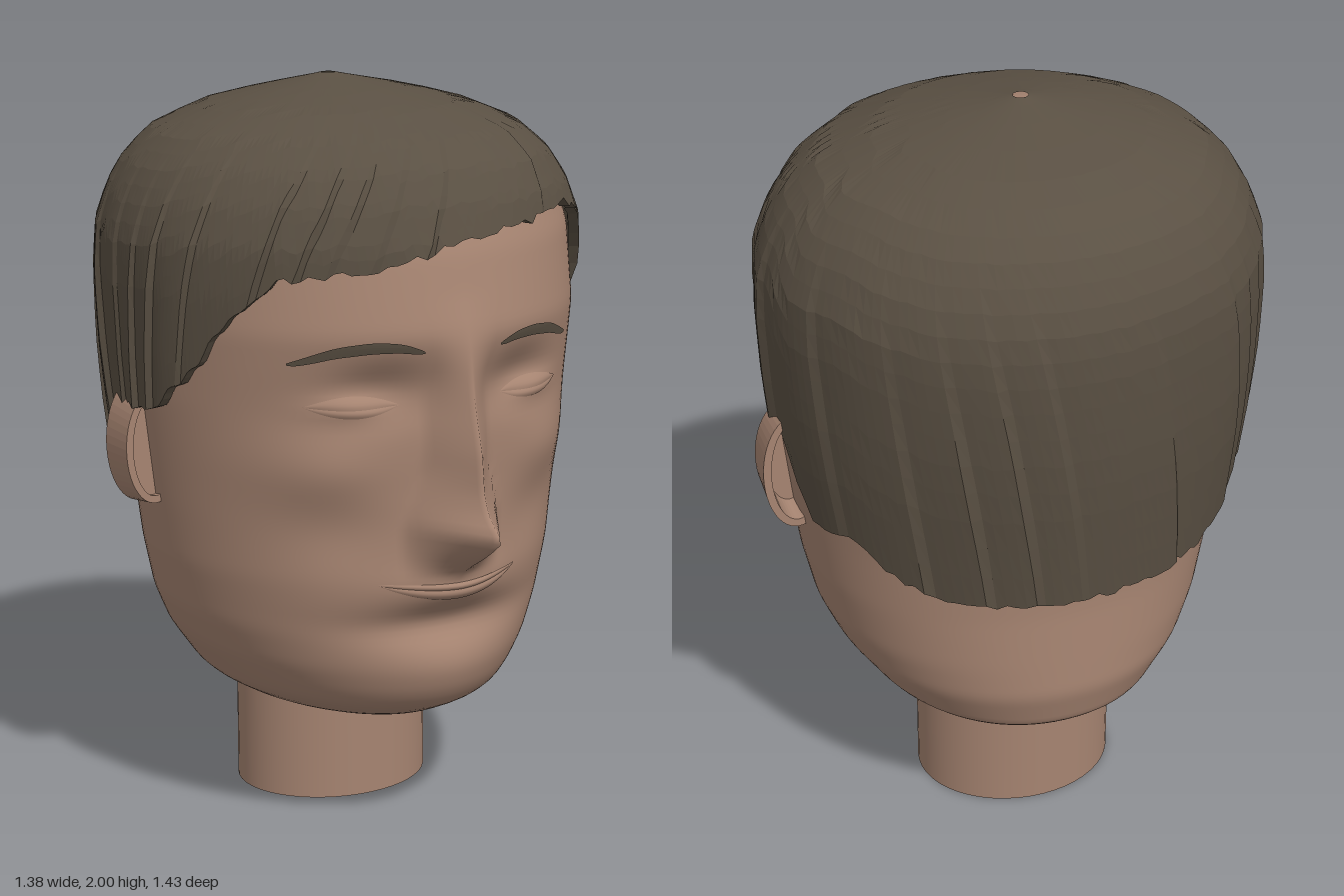
import * as THREE from 'three';

const skin = new THREE.MeshStandardMaterial({ color: 0xa68471 });
skin.name = 'skin';
skin.side = THREE.DoubleSide;
const hairColour = new THREE.MeshStandardMaterial({ color: 0x5a5043 });
hairColour.name = 'dark hair';
hairColour.side = THREE.DoubleSide;
hairColour.flatShading = true;

// Piecewise-linear lookup in [key, value] pairs with rising keys
function look(table, k) {
  if (k <= table[0][0]) return table[0][1];
  for (let i = 1; i < table.length; i++) {
    const [k0, v0] = table[i - 1], [k1, v1] = table[i];
    if (k <= k1) return v0 + (v1 - v0) * (k - k0) / (k1 - k0);
  }
  return table[table.length - 1][1];
}
// Lookup rounded off at the corners
function soft(table, k, d = 0.02) {
  let s = 0;
  for (let i = -2; i <= 2; i++) s += look(table, k + i * d / 2) / 5;
  return s;
}

// Grid of points from fn(column, row) turned into a surface
function surface(cols, rows, fn, wrap) {
  const pos = [], idx = [], n = wrap ? cols : cols + 1;
  for (let r = 0; r <= rows; r++)
    for (let c = 0; c < n; c++) pos.push(...fn(c / cols, r / rows));
  for (let r = 0; r < rows; r++)
    for (let c = 0; c < cols; c++) {
      const a = r * n + c, b = r * n + (c + 1) % n;
      idx.push(a, b, b + n, a, b + n, a + n);
    }
  const g = new THREE.BufferGeometry();
  g.setAttribute('position', new THREE.Float32BufferAttribute(pos, 3));
  g.setIndex(idx);
  g.computeVertexNormals();
  return g;
}

// Head outline by height: half width, front and back
const MID = -0.08, FACE_POWER = 1.85, BACK_POWER = 2.1;
const WIDTH = [[0.275, 0], [0.28, 0.13], [0.315, 0.29], [0.38, 0.4], [0.5, 0.485], [0.6, 0.53], [0.75, 0.565],
  [0.9, 0.585], [1.2, 0.62], [1.4, 0.63], [1.6, 0.625], [1.76, 0.575], [1.86, 0.47], [1.92, 0.33], [1.955, 0.18], [1.985, 0]];
const FRONT = [[0.275, MID], [0.28, 0.2], [0.315, 0.31], [0.38, 0.44], [0.43, 0.475], [0.5, 0.49], [0.6, 0.498],
  [0.75, 0.508], [1.0, 0.505], [1.2, 0.515], [1.3, 0.535], [1.4, 0.55],
  [1.6, 0.5], [1.76, 0.43], [1.86, 0.33], [1.92, 0.2], [1.955, 0.05], [1.985, MID]];
const BACK = [[0.275, MID], [0.28, -0.2], [0.32, -0.42], [0.38, -0.575], [0.5, -0.61], [0.6, -0.605], [0.75, -0.597],
  [0.9, -0.6], [1.2, -0.64], [1.6, -0.66], [1.76, -0.62], [1.86, -0.52], [1.92, -0.4], [1.955, -0.24], [1.985, MID]];
const RIDGE = [[0.76, 0], [0.8, 0.07], [0.84, 0.14], [0.9, 0.222], [0.95, 0.16], [1.0, 0.135], [1.1, 0.118],
  [1.2, 0.085], [1.3, 0.045], [1.4, 0.01], [1.5, 0]];
const NOSE_WIDTH = [[0.8, 0.14], [0.92, 0.14], [1.05, 0.1], [1.3, 0.085], [1.45, 0.12]];

const blob = (x, y, cx, cy, sx, sy) => Math.exp(-(((x - cx) / sx) ** 2) - ((y - cy) / sy) ** 2);

// Relief of the face: nose, eye sockets, cheeks, mouth and chin
function relief(x, y) {
  const ax = Math.abs(x);
  const t = Math.max(0, 1 - ax / soft(NOSE_WIDTH, y));
  return soft(RIDGE, y, 0.012) * Math.pow(t, 1.1)
    - 0.045 * blob(ax, y, 0.2, 1.26, 0.13, 0.075)
    + 0.02 * blob(ax, y, 0.27, 1.215, 0.09, 0.03)
    + 0.03 * blob(ax, y, 0.36, 1.05, 0.13, 0.1)
    - 0.015 * blob(ax, y, 0.28, 0.88, 0.12, 0.1)
    + 0.025 * blob(ax, y, 0, 0.73, 0.14, 0.05)
    - 0.045 * blob(ax, y, 0, 0.62, 0.24, 0.055)
    + 0.01 * blob(ax, y, 0, 0.49, 0.2, 0.06);
}
function faceZ(x, y) {
  const k = Math.min(1, Math.abs(x) / soft(WIDTH, y));
  return MID + (soft(FRONT, y) - MID) * Math.pow(1 - Math.pow(k, FACE_POWER), 1 / FACE_POWER) + relief(x, y);
}

function headGeometry() {
  return surface(128, 110, (u, v) => {
    const q = (u - 0.5) * 2 * Math.PI, a = q - 0.5 * Math.sin(q);
    const e = 0.5 * v + 0.25 * (1 - Math.cos(Math.PI * v));
    const y = 0.275 + 1.71 * e;
    const end = v === 0 || v === 1 ? 0 : 1;
    const c = Math.cos(a), power = 2 / (c > 0 ? FACE_POWER : BACK_POWER);
    const curve = w => Math.sign(w) * Math.pow(Math.abs(w), power);
    const x = end * soft(WIDTH, y) * curve(Math.sin(a));
    const reach = c > 0 ? soft(FRONT, y) - MID : MID - soft(BACK, y);
    const z = MID + end * reach * curve(c) + end * relief(x, y) * THREE.MathUtils.smoothstep(c, 0, 0.35);
    return [x, y, z];
  }, true);
}

// Hair: radius share by height, and height of the hem by angle from the front
const HAIR = [[0.83, 0.9], [1.15, 0.965], [1.3, 0.985], [1.5, 1], [1.62, 0.995], [1.72, 0.945], [1.8, 0.87],
  [1.87, 0.75], [1.93, 0.53], [1.965, 0.3], [1.99, 0.1], [2, 0.03]];
const HEM_BACK = [[1.42, 1.17], [1.63, 1.17], [1.72, 1.05], [1.8, 0.97], [1.9, 0.95], [2.08, 0.98], [2.22, 0.92],
  [2.5, 0.85], [3.15, 0.83]];
const HEM_FRONT = [[-1.42, 1.17], [-1.3, 1.19], [-1.1, 1.3], [-0.9, 1.45], [-0.7, 1.55], [-0.33, 1.57], [0, 1.63],
  [0.33, 1.66], [0.73, 1.68], [0.9, 1.65], [1.0, 1.61], [1.1, 1.55], [1.19, 1.45], [1.27, 1.32], [1.32, 1.23], [1.42, 1.17]];

function hairGeometry() {
  const rows = 20;
  return surface(192, rows + 1, (u, v) => {
    const root = (u - 0.5) * 2 * Math.PI;
    const row = Math.round(v * (rows + 1)), s = Math.min(1, row / rows);
    // Locks lean to one side as they fall
    const lean = root - 0.5 * s * Math.cos(root);
    const a = Math.atan2(Math.sin(lean), Math.cos(lean));
    const rag = 0.008 * Math.sin(a * 37) * Math.sin(a * 11) + 0.005 * Math.sin(a * 61);
    const hem = rag + (Math.abs(a) < 1.42 ? look(HEM_FRONT, a) : look(HEM_BACK, Math.abs(a)));
    const y = 2 - (2 - hem) * Math.pow(s, 1.7);
    // Each lock steps up to an overlapping edge
    const lock = (24 * u + 0.4 * Math.sin(root * 5) + 0.3 * Math.sin(root * 3) + 20) % 1;
    const depth = 0.02 + 0.008 * Math.sin(root * 7 + 4 * s);
    const share = look(HAIR, y);
    let r = share + depth * lock * THREE.MathUtils.smoothstep(s, 0.35, 0.8);
    if (row > rows) r -= 0.045; // rim folded in towards the skin
    const side = Math.sin(a) > 0 ? 0.65 : 0.672;
    return [side * r * Math.sin(a) - 0.04 * Math.max(0, 1 - share), y, -0.1 + 0.615 * r * Math.cos(a)];
  }, true);
}

// Thin patch lying on the face between two curves
function patch(x0, x1, low, high, lift, bulge) {
  return surface(28, 5, (u, v) => {
    const x = x0 + (x1 - x0) * u, y = low(x) + (high(x) - low(x)) * v;
    return [x, y, faceZ(x, y) + lift + bulge * Math.sin(Math.PI * v) * Math.sin(Math.PI * u)];
  }, false);
}

// Oval ear rim that flares towards the back
function earRimGeometry() {
  const oval = new THREE.Shape().absellipse(0, 0, 0.09, 0.17, 0, Math.PI * 2);
  oval.holes.push(new THREE.Path().absellipse(0, 0, 0.068, 0.148, 0, Math.PI * 2));
  const g = new THREE.ExtrudeGeometry(oval, { depth: 0.11, bevelEnabled: false, curveSegments: 24 });
  const p = g.attributes.position;
  for (let i = 0; i < p.count; i++) {
    const k = 1 - 0.9 * p.getZ(i);
    p.setXY(i, p.getX(i) * k, p.getY(i) * k);
  }
  g.computeVertexNormals();
  return g;
}

export function createModel() {
  const model = new THREE.Group();
  model.name = 'head bust';
  const add = (name, geometry, material) => {
    const m = new THREE.Mesh(geometry, material);
    m.name = name;
    model.add(m);
    return m;
  };

  add('head', headGeometry(), skin);
  add('hair', hairGeometry(), hairColour);

  // Open oval neck
  const neck = add('neck', new THREE.CylinderGeometry(0.275, 0.275, 0.36, 48, 1, true), skin);
  neck.scale.z = 0.855;
  neck.position.set(0, 0.18, -0.165);

  // Lips meet in a gentle smile
  const seam = x => 0.728 + 0.018 * (x / 0.2) ** 2;
  const taper = x => Math.max(0, 1 - (x / 0.205) ** 2);
  add('upper lip', patch(-0.205, 0.205, seam, x => seam(x) + 0.004 + 0.014 * taper(x), 0.003, 0.005), skin);
  add('lower lip', patch(-0.205, 0.205, x => seam(x) - 0.03 * taper(x), seam, 0.003, 0.006), skin);

  const BROW = [[0.11, 1.362], [0.17, 1.378], [0.24, 1.38], [0.32, 1.368], [0.415, 1.333]];
  for (const s of [-1, 1]) {
    const side = s > 0 ? 'left' : 'right';
    const span = (a, b) => s > 0 ? [a, b] : [-b, -a];

    // Eyebrow
    const brow = x => soft(BROW, Math.abs(x));
    const thick = x => 0.015 * Math.sqrt(Math.max(0, 1 - ((Math.abs(x) - 0.265) / 0.155) ** 2));
    add(side + ' eyebrow', patch(...span(0.112, 0.418), x => brow(x) - thick(x), x => brow(x) + thick(x), 0.006, 0), hairColour);

    // Closed eyelids
    const arc = x => Math.max(0, 1 - ((Math.abs(x) - 0.265) / 0.115) ** 2);
    const slit = x => 1.222 - 0.008 * arc(x);
    add(side + ' upper eyelid', patch(...span(0.15, 0.38), slit, x => slit(x) + 0.034 * arc(x), 0.002, 0.005), skin);
    add(side + ' lower eyelid', patch(...span(0.15, 0.38), x => slit(x) - 0.022 * arc(x), slit, 0.002, 0.003), skin);

    // Ear: a flared rim with a recessed bowl
    const rim = add(side + ' ear rim', earRimGeometry(), skin);
    rim.position.set(s * 0.598, 1.055, -0.145);
    const bowl = add(side + ' ear bowl', new THREE.CircleGeometry(1, 32), skin);
    bowl.scale.set(0.066, 0.143, 1);
    bowl.position.set(s * 0.598, 1.055, -0.06);
  }
  return model;
}
